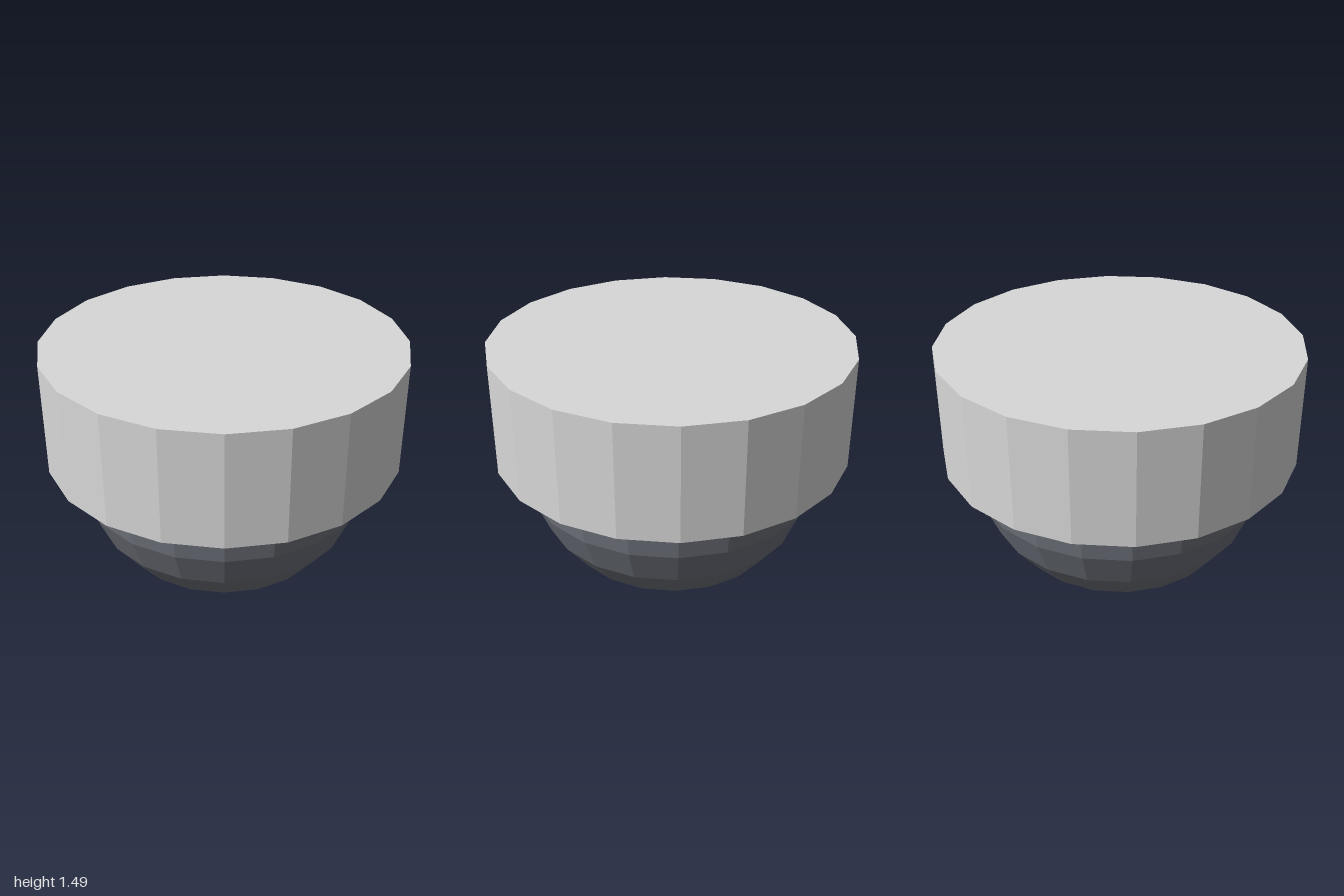
import * as THREE from 'three';

const SIDES = 20;
const DOME_RADIUS = 0.85;
const HOUSING_HEIGHT = 0.635;

export function createModel() {
  const group = new THREE.Group();
  group.name = 'domeCamera';

  const lightGrey = new THREE.MeshStandardMaterial({ name: 'lightGrey', color: 0xd8d8d8, flatShading: true });
  const smokedGlass = new THREE.MeshStandardMaterial({ name: 'smokedGlass', color: 0x70747d, flatShading: true });

  // Faceted drum that mounts to the ceiling
  const housing = new THREE.Mesh(new THREE.CylinderGeometry(1, 1, HOUSING_HEIGHT, SIDES), lightGrey);
  housing.name = 'housing';
  housing.position.y = DOME_RADIUS + HOUSING_HEIGHT / 2;

  // Hanging half sphere, six rings from rim to tip
  const dome = new THREE.Mesh(
    new THREE.SphereGeometry(DOME_RADIUS, SIDES, 6, 0, Math.PI * 2, Math.PI / 2, Math.PI / 2),
    smokedGlass
  );
  dome.name = 'dome';
  dome.position.y = DOME_RADIUS;

  group.add(housing, dome);
  return group;
}
